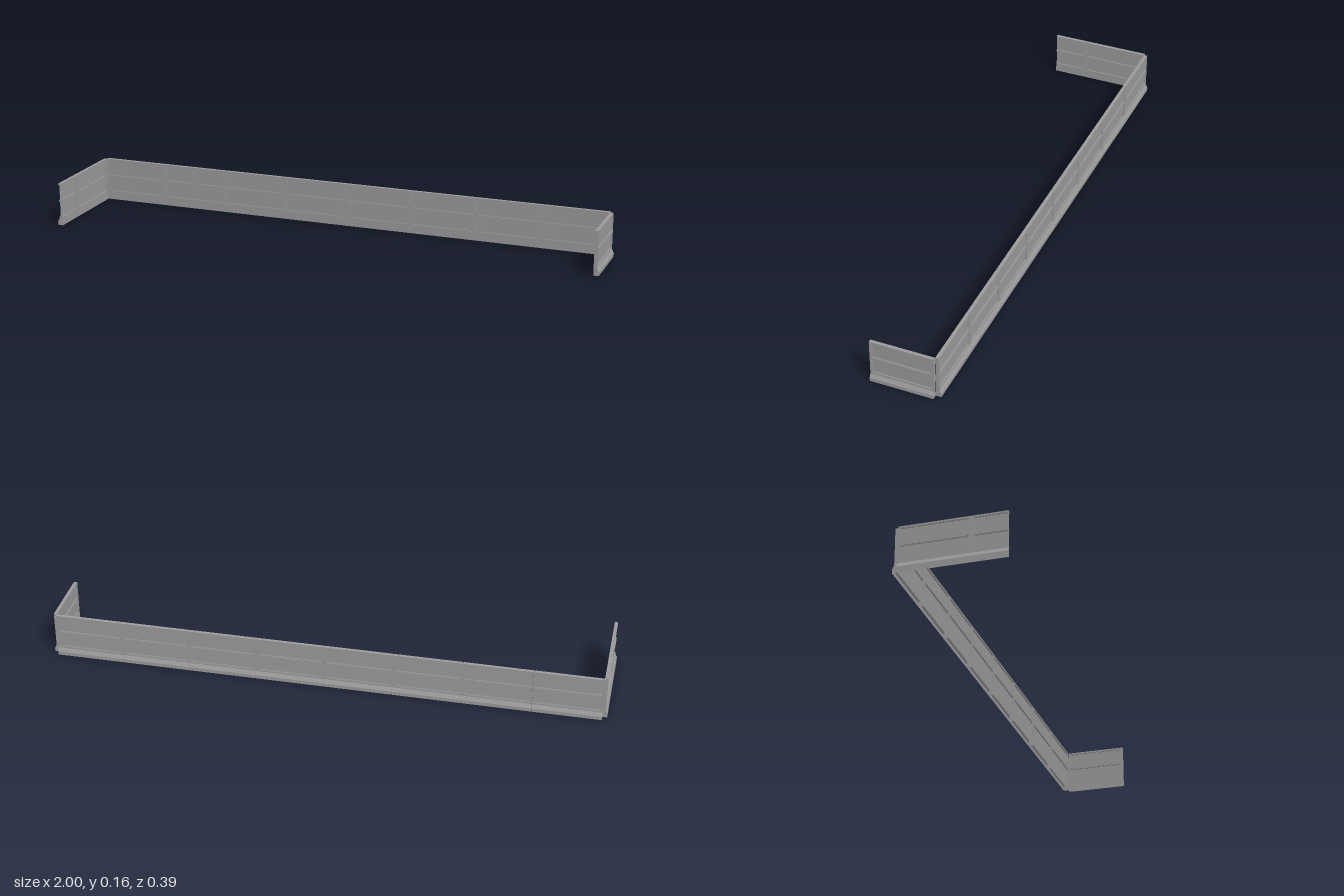
import * as THREE from 'three';

const material = new THREE.MeshStandardMaterial({ color: 0x9c9c9c, flatShading: true, side: THREE.DoubleSide });
const HEIGHT = 0.16, THICK = 0.012, SILL = 0.033, STILE = 0.0075, GAP = 0.0007;
const TOP = 0.154, MID_LOW = 0.0905, MID_HIGH = 0.0955;

// Box given by its limits along x and y, set back by inset from both wall faces
function addBox(parent, name, x0, x1, y0, y1, inset = 0) {
  const mesh = new THREE.Mesh(new THREE.BoxGeometry(x1 - x0, y1 - y0, THICK - 2 * inset), material);
  mesh.position.set((x0 + x1) / 2, (y0 + y1) / 2, THICK / 2);
  mesh.name = name;
  parent.add(mesh);
}

// Plinth with a flared foot on the outer side and an open underside
function addPlinth(parent, length) {
  const section = [[0, 0], [0.019, 0], [0.019, 0.013], [THICK, 0.027], [THICK, SILL], [0, SILL]];
  const shape = new THREE.Shape(section.map(([d, y]) => new THREE.Vector2(-d, y)));
  const solid = new THREE.ExtrudeGeometry(shape, { depth: length - 2 * GAP, bevelEnabled: false });
  solid.rotateY(Math.PI / 2);
  solid.translate(GAP, 0, 0);
  const p = solid.getAttribute('position').array;
  const kept = [];
  for (let i = 0; i < p.length; i += 9) {
    if (Math.max(p[i + 1], p[i + 4], p[i + 7]) > 1e-5) kept.push(...p.slice(i, i + 9));
  }
  const geometry = new THREE.BufferGeometry();
  geometry.setAttribute('position', new THREE.Float32BufferAttribute(kept, 3));
  geometry.computeVertexNormals();
  const mesh = new THREE.Mesh(geometry, material);
  mesh.name = 'plinth';
  parent.add(mesh);
}

// Recessed pane with a stepped bead around it
function addWindow(parent, x0, x1, y0, y1, hasEndBead) {
  const bead = 0.002, inset = 0.002;
  const right = hasEndBead ? x1 - bead : x1;
  addBox(parent, 'pane', x0 + bead, right, y0 + bead, y1 - bead, 0.0045);
  addBox(parent, 'bead', x0, x1, y0, y0 + bead, inset);
  addBox(parent, 'bead', x0, x1, y1 - bead, y1, inset);
  addBox(parent, 'bead', x0, x0 + bead, y0 + bead, y1 - bead, inset);
  if (hasEndBead) addBox(parent, 'bead', right, x1, y0 + bead, y1 - bead, inset);
}

// One panel runs along +x with its outer face toward +z
function makePanel(length, hasEndStile) {
  const panel = new THREE.Group();
  panel.name = 'panel';
  const end = length - GAP;
  const right = hasEndStile ? length - STILE : end;
  addPlinth(panel, length);
  addBox(panel, 'stile', GAP, STILE, SILL, HEIGHT);
  if (hasEndStile) addBox(panel, 'stile', right, end, SILL, HEIGHT);
  addBox(panel, 'topRail', STILE, right, TOP, HEIGHT);
  addBox(panel, 'middleRail', STILE, right, MID_LOW, MID_HIGH);
  addWindow(panel, STILE, right, SILL, MID_LOW, hasEndStile);
  addWindow(panel, STILE, right, MID_HIGH, TOP, hasEndStile);
  return panel;
}

// A wall is a row of panels; an open end leaves the last panel without its stile
function makeWall(name, lengths, openEnd = false) {
  const wall = new THREE.Group();
  wall.name = name;
  let x = 0;
  lengths.forEach((length, i) => {
    const panel = makePanel(length, !(openEnd && i === lengths.length - 1));
    panel.position.x = x;
    wall.add(panel);
    x += length;
  });
  return wall;
}

export function createModel() {
  const model = new THREE.Group();
  model.name = 'barrier';

  // Long back wall
  const back = makeWall('backWall', Array(8).fill(0.2458));
  back.position.set(0.982, 0, -0.1755);
  back.rotation.y = Math.PI;

  // Short side wall, one panel
  const left = makeWall('leftWall', [0.228]);
  left.position.set(0.981, 0, 0.053);
  left.rotation.y = Math.PI / 2;

  // Longer side wall, one and a half panels
  const right = makeWall('rightWall', [0.246, 0.123], true);
  right.position.set(-0.981, 0, -0.175);
  right.rotation.y = -Math.PI / 2;

  model.add(back, left, right);
  return model;
}
